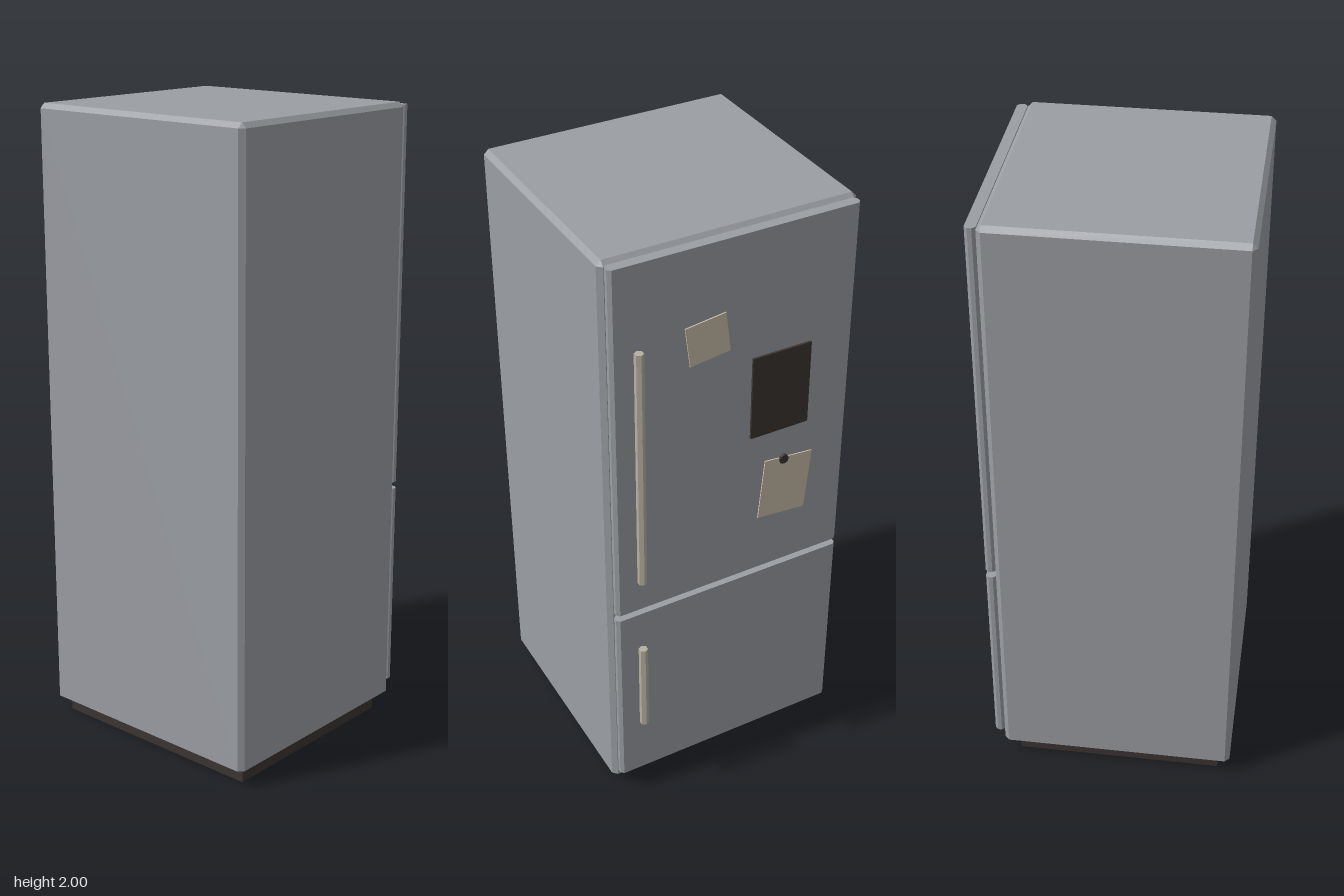
import * as THREE from 'three';
import { ConvexGeometry } from 'three/addons/geometries/ConvexGeometry.js';

// Rectangle with cut corners, as [x, z] pairs
function cutRect(hx, z0, z1, c) {
  return [
    [hx - c, z0], [hx, z0 + c], [hx, z1 - c], [hx - c, z1],
    [c - hx, z1], [-hx, z1 - c], [-hx, z0 + c], [c - hx, z0],
  ];
}

const ring = (pairs, y) => pairs.map(([x, z]) => new THREE.Vector3(x, y, z));

export function createModel() {
  const model = new THREE.Group();
  const material = (name, color) => {
    const m = new THREE.MeshStandardMaterial({ color, flatShading: true });
    m.name = name;
    return m;
  };
  const steel = material('steel grey', 0x9b9ea3);
  const dark = material('dark brown', 0x3b3432);
  const paper = material('paper beige', 0xcbc0ab);
  const handleMetal = material('warm handle grey', 0xb5b0a0);

  const add = (name, geometry, mat, x = 0, y = 0, z = 0) => {
    const mesh = new THREE.Mesh(geometry, mat);
    mesh.name = name;
    mesh.position.set(x, y, z);
    model.add(mesh);
    return mesh;
  };

  // Plinth under the cabinet
  add('base', new THREE.BoxGeometry(0.75, 0.058, 0.665), dark, 0, 0.029, 0.0425);

  // Cabinet with chamfered upright and top edges
  const outline = cutRect(0.405, -0.34, 0.415, 0.015);
  const lid = [[0.39, -0.325], [0.39, 0.4], [-0.39, 0.4], [-0.39, -0.325]];
  add('cabinet', new ConvexGeometry([
    ...ring(outline, 0.058), ...ring(outline, 1.985), ...ring(lid, 2),
  ]), steel);

  // Doors and their bar handles, on the -z side
  const doorOutline = cutRect(0.393, -0.373, -0.34, 0.01);
  const doors = [
    { name: 'upper', bottom: 0.785, top: 1.99, grip: [0.92, 1.735] },
    { name: 'lower', bottom: 0.09, top: 0.763, grip: [0.33, 0.65] },
  ];
  for (const { name, bottom, top, grip: [g0, g1] } of doors) {
    add(name + 'Door', new ConvexGeometry([
      ...ring(doorOutline, bottom), ...ring(doorOutline, top),
    ]), steel);
    add(name + 'Handle', new THREE.CylinderGeometry(0.0145, 0.0145, g1 - g0, 6),
      handleMetal, 0.323, (g0 + g1) / 2, -0.405);
  }

  // Notes and board stuck to the upper door
  const plate = (name, mat, x, y, w, h, depth, tilt) => {
    const mesh = add(name, new THREE.BoxGeometry(w, h, depth), mat, x, y, -0.373 - depth / 2);
    mesh.rotation.z = tilt;
  };
  plate('upperNote', paper, 0.093, 1.69, 0.13, 0.13, 0.004, -0.13);
  plate('darkBoard', dark, -0.152, 1.44, 0.195, 0.28, 0.007, 0);
  plate('lowerNote', paper, -0.183, 1.083, 0.165, 0.21, 0.004, 0.09);

  // Magnet holding the lower note
  const magnet = add('magnet', new THREE.CylinderGeometry(0.016, 0.016, 0.009, 8),
    dark, -0.174, 1.184, -0.3775);
  magnet.rotation.x = Math.PI / 2;

  return model;
}
